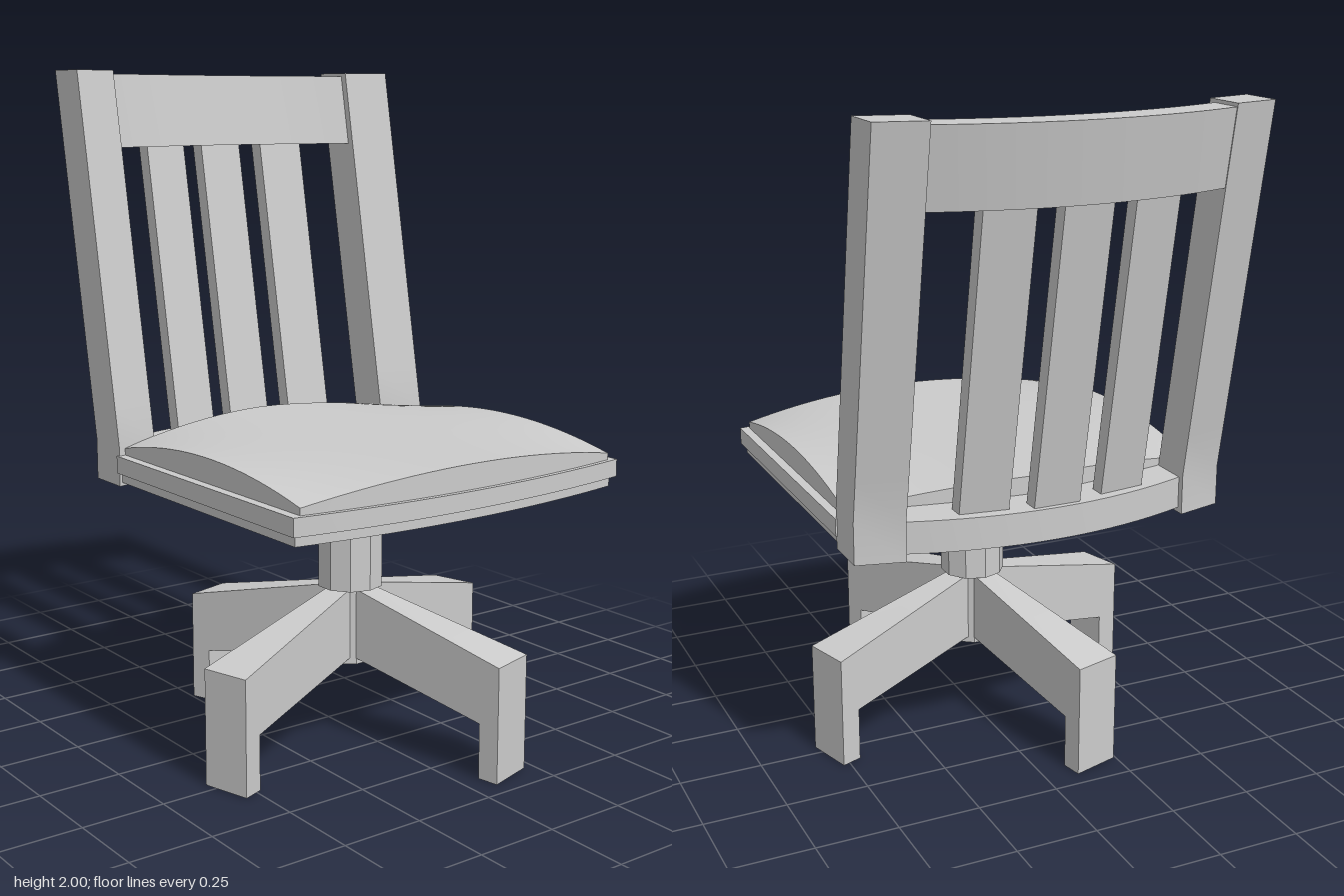
import * as THREE from 'three';
import { toCreasedNormals } from 'three/addons/utils/BufferGeometryUtils.js';

const LEAN = -0.183; // backward slope of the backrest, x per unit of height
const material = new THREE.MeshStandardMaterial({ color: 0xcccccc });

function addMesh(parent, name, geometry) {
  const mesh = new THREE.Mesh(toCreasedNormals(geometry, 0.5), material);
  mesh.name = name;
  parent.add(mesh);
  return mesh;
}

// Extrudes a plan outline of [x, z] points from y0 to y1; lean(y) shifts x with height.
function planSolid(points, y0, y1, lean = () => 0, steps = 1) {
  const shape = new THREE.Shape(points.map(([x, z]) => new THREE.Vector2(x, -z)));
  const geometry = new THREE.ExtrudeGeometry(shape, { depth: y1 - y0, steps, bevelEnabled: false });
  geometry.rotateX(-Math.PI / 2).translate(0, y0, 0);
  const p = geometry.attributes.position;
  for (let i = 0; i < p.count; i++) p.setX(i, p.getX(i) + lean(p.getY(i)));
  return geometry;
}

// Points of a shallow bow across the chair, from -halfWidth to +halfWidth.
function bow(xMid, xEnd, halfWidth, n = 16) {
  return Array.from({ length: n + 1 }, (_, i) => {
    const t = (2 * i) / n - 1;
    return [xMid + (xEnd - xMid) * t * t, t * halfWidth];
  });
}

const curvedRail = (back, front, halfWidth) =>
  [...bow(...back, halfWidth), ...bow(...front, halfWidth).reverse()];

function createSeat() {
  const seat = new THREE.Group();
  seat.name = 'seat';
  const outline = (inset) => [
    ...bow(0.69 - inset, 0.64 - inset, 0.583 - inset),
    [-0.27, 0.583 - inset], [-0.27, 0.44], [-0.38, 0.2],
    [-0.38, -0.2], [-0.27, -0.44], [-0.27, -0.583 + inset],
  ];
  addMesh(seat, 'seatBase', planSolid(outline(0.015), 0.79, 0.82));
  addMesh(seat, 'seatBand', planSolid(outline(0), 0.82, 0.872));

  // Cushion: high along both middle lines, falling to low corners
  const cushion = new THREE.BoxGeometry(2, 1, 2, 20, 1, 20);
  const p = cushion.attributes.position;
  for (let i = 0; i < p.count; i++) {
    const u = p.getX(i), v = p.getZ(i);
    const back = -0.36 + 0.09 * Math.abs(v) ** 1.4;
    const front = 0.675 - 0.045 * v * v;
    const top = 0.892 + 0.052 * (1 - u * u * v * v);
    p.setXYZ(i, back + (front - back) * (u + 1) / 2, p.getY(i) > 0 ? top : 0.87, v * 0.555);
  }
  addMesh(seat, 'cushion', cushion);
  return seat;
}

function createBackrest() {
  const back = new THREE.Group();
  back.name = 'backrest';

  // Posts: short upright foot, then leaning back
  for (const s of [1, -1]) {
    const corners = [[-0.40, 0.578], [-0.262, 0.578], [-0.298, 0.437], [-0.435, 0.437]];
    const plan = corners.map(([x, z]) => [x, z * s]);
    addMesh(back, s > 0 ? 'nearPost' : 'farPost',
      planSolid(plan, 0.78, 2, (y) => LEAN * Math.max(0, y - 0.902), 10));
  }

  addMesh(back, 'topRail', planSolid(
    curvedRail([-0.668, -0.588], [-0.555, -0.478], 0.445), 1.77, 1.99,
    (y) => LEAN * (y - 1.77)));
  addMesh(back, 'bottomRail', planSolid(
    curvedRail([-0.49, -0.41], [-0.35, -0.28], 0.45), 0.795, 0.89));

  // Slats, the outer ones turned to follow the bow
  for (const [z, x, turn] of [[0.23, -0.385, 0.02], [0.005, -0.42, 0], [-0.205, -0.385, -0.02]]) {
    const w = 0.072;
    addMesh(back, 'slat', planSolid([
      [x - turn / 2, z - w], [x + turn / 2, z + w],
      [x - 0.05 + turn / 2, z + w], [x - 0.05 - turn / 2, z - w],
    ], 0.88, 1.79, (y) => LEAN * (y - 0.88)));
  }
  return back;
}

function createBase() {
  const base = new THREE.Group();
  base.name = 'base';
  base.position.set(0.125, 0, 0.012);

  const column = addMesh(base, 'column', new THREE.CylinderGeometry(0.1, 0.1, 0.32, 10));
  column.position.y = 0.635;
  column.rotation.y = Math.PI / 2;
  addMesh(base, 'hub', new THREE.CylinderGeometry(0.063, 0.063, 0.24, 10)).position.y = 0.358;

  // Leg side profile, widening towards the foot
  const reach = 0.577;
  const profile = new THREE.Shape([
    [0.02, 0.472], [0.02, 0.26], [0.06, 0.255], [reach - 0.065, 0.17],
    [reach - 0.065, 0.005], [reach, 0.005], [reach, 0.35], [0.06, 0.47],
  ].map(([r, y]) => new THREE.Vector2(r, y)));
  const leg = new THREE.ExtrudeGeometry(profile, { depth: 1, bevelEnabled: false });
  leg.translate(0, 0, -0.5);
  const p = leg.attributes.position;
  for (let i = 0; i < p.count; i++) {
    p.setZ(i, p.getZ(i) * (0.065 + 0.085 * p.getX(i) / reach));
  }
  for (let i = 0; i < 4; i++) {
    addMesh(base, 'leg', leg).rotation.y = 0.28 + i * Math.PI / 2;
  }
  return base;
}

export function createModel() {
  const chair = new THREE.Group();
  chair.name = 'swivelChair';
  chair.add(createSeat(), createBackrest(), createBase());
  return chair;
}
